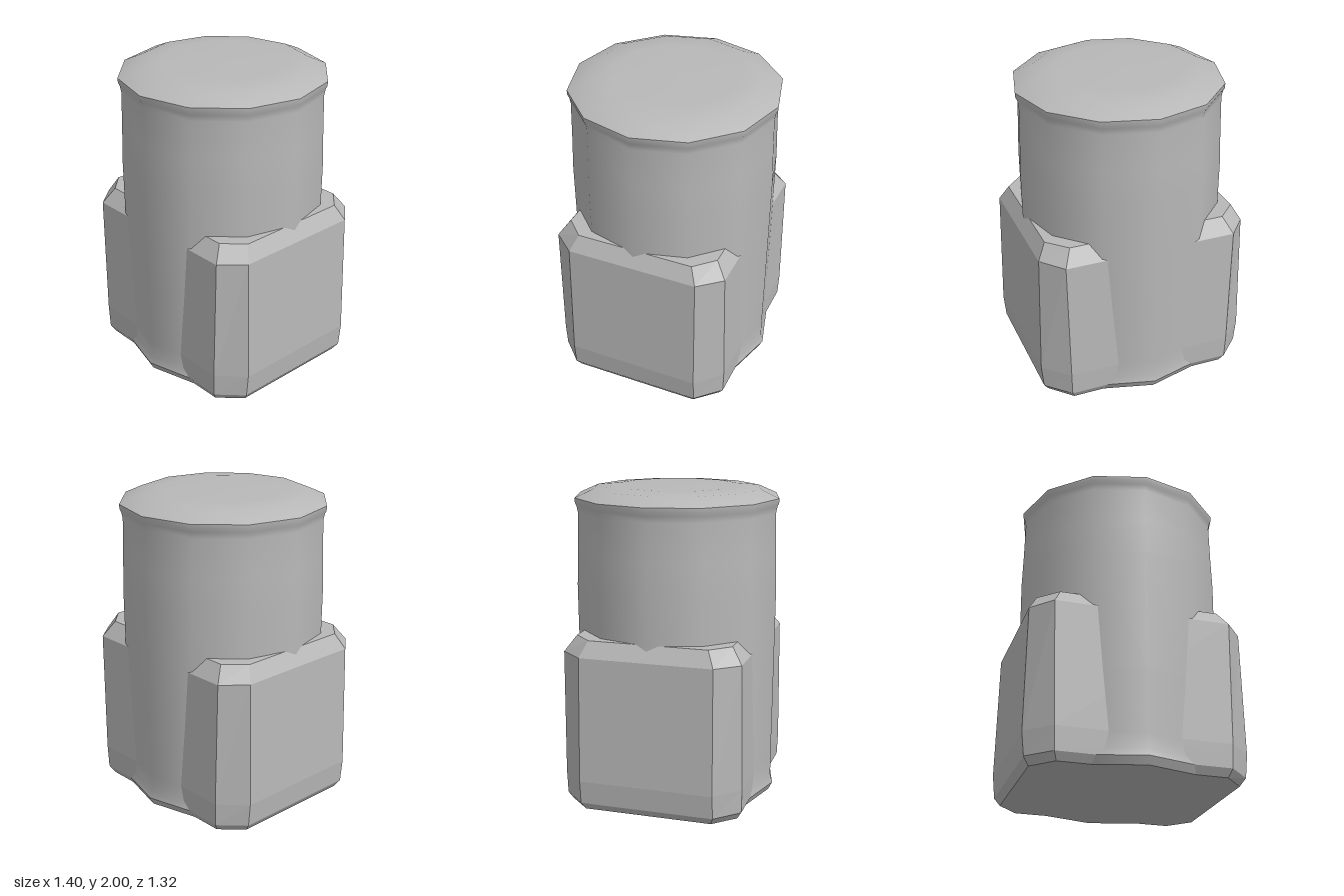
import * as THREE from 'three';

// Closed, flat-faceted solid from rings of [x, z] corners stacked upward
function loft(rings) {
  const pos = [];
  const n = rings[0].pts.length;
  const at = (r, i) => [r.pts[i % n][0], r.y, r.pts[i % n][1]];
  const tri = (a, b, c) => pos.push(...a, ...b, ...c);
  for (let k = 0; k < rings.length - 1; k++) {
    const lo = rings[k], hi = rings[k + 1];
    for (let i = 0; i < n; i++) {
      tri(at(lo, i), at(lo, i + 1), at(hi, i + 1));
      tri(at(lo, i), at(hi, i + 1), at(hi, i));
    }
  }
  const bottom = rings[0], top = rings[rings.length - 1];
  for (let i = 1; i < n - 1; i++) {
    tri(at(bottom, 0), at(bottom, i + 1), at(bottom, i));
    tri(at(top, 0), at(top, i), at(top, i + 1));
  }
  const g = new THREE.BufferGeometry();
  g.setAttribute('position', new THREE.Float32BufferAttribute(pos, 3));
  g.computeVertexNormals();
  return g;
}

// Rectangle with cut corners: half sizes x, z and where each cut begins
function cutRect(y, x, z, cutX, cutZ) {
  return {
    y,
    pts: [[x, cutZ], [x, -cutZ], [cutX, -z], [-cutX, -z],
      [-x, -cutZ], [-x, cutZ], [-cutX, z], [cutX, z]],
  };
}

// Twelve-sided turned surface
function turned(profile) {
  return new THREE.LatheGeometry(profile.map(([r, y]) => new THREE.Vector2(r, y)), 12);
}

export function createModel() {
  const group = new THREE.Group();
  const grey = new THREE.MeshStandardMaterial({ color: 0xb8b8b8 });
  grey.name = 'stone grey';

  const add = (name, geometry) => {
    const mesh = new THREE.Mesh(geometry, grey);
    mesh.name = name;
    group.add(mesh);
  };

  // Round column, with a slight flare at each end
  add('columnWall', turned([
    [0.655, 0.05], [0.642, 0.1], [0.64, 0.2], [0.645, 0.6], [0.652, 1.38],
    [0.645, 1.6], [0.64, 1.84], [0.648, 1.88], [0.658, 1.9], [0.66, 1.93],
  ]));

  // Bevelled foot and flat underside
  add('columnFoot', turned([[0.63, 0], [0.655, 0.05]]));
  const underside = new THREE.CircleGeometry(0.63, 12);
  underside.rotateX(Math.PI / 2);
  add('columnUnderside', underside);

  // Shallow domed cap
  add('columnCap', turned([
    [0.66, 1.93], [0.54, 1.983], [0.39, 1.997], [0, 2],
  ]));

  // Block with cut corners around the lower half, bevelled top and bottom
  add('baseBlock', loft([
    cutRect(0, 0.65, 0.545, 0.52, 0.41),
    cutRect(0.05, 0.685, 0.575, 0.54, 0.43),
    cutRect(0.2, 0.7, 0.58, 0.545, 0.43),
    cutRect(1.0, 0.685, 0.57, 0.56, 0.425),
    cutRect(1.1, 0.63, 0.5, 0.51, 0.38),
  ]));

  return group;
}
